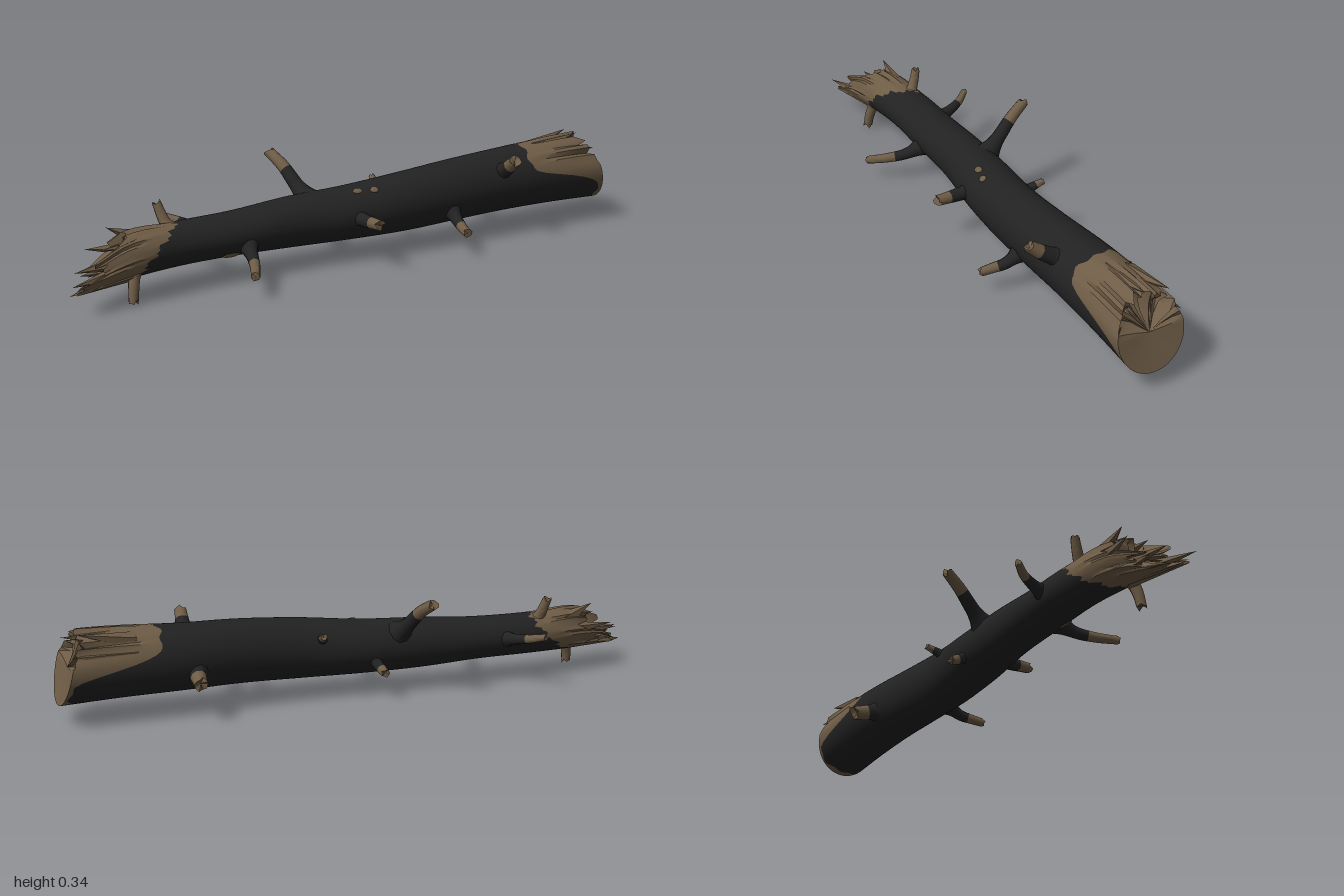
import * as THREE from 'three';
import { toCreasedNormals } from 'three/addons/utils/BufferGeometryUtils.js';

const bark = new THREE.MeshStandardMaterial({ color: 0x222222 });
bark.name = 'charred bark';
const wood = new THREE.MeshStandardMaterial({ color: 0x6e5c46 });
wood.name = 'bare wood';

const V = (p) => new THREE.Vector3(...p);
const lerp = THREE.MathUtils.lerp;
const rand = (n) => { const s = Math.sin(n * 127.1 + 3.7) * 43758.5453; return s - Math.floor(s); };
const jag = (a) => 0.5 * Math.sin(5 * a + 1) + 0.5 * Math.sin(11 * a + 2);

// Trunk sections along x: centre y, centre z, half height, half depth
const stations = [-1.05, -0.9, -0.8, -0.6, -0.4, -0.2, 0, 0.2, 0.4, 0.6, 0.8, 1.0];
const sections = [
  0.085, 0.075, 0.03, 0.035,
  0.112, 0.037, 0.052, 0.05,
  0.135, 0.01, 0.07, 0.072,
  0.138, -0.013, 0.068, 0.076,
  0.14, -0.012, 0.07, 0.08,
  0.144, -0.01, 0.082, 0.08,
  0.147, 0.006, 0.088, 0.092,
  0.157, 0.024, 0.098, 0.09,
  0.167, 0.025, 0.103, 0.094,
  0.171, 0.016, 0.106, 0.104,
  0.175, 0.018, 0.112, 0.108,
  0.172, 0.022, 0.116, 0.112,
];
const section = new THREE.CubicInterpolant(stations, sections, 4);

// Point on the trunk at station x and angle a (0 = front, PI/2 = top)
function surface(x, a, scale = 1) {
  const [cy, cz, ry, rz] = section.evaluate(x);
  return new THREE.Vector3(x, cy + ry * scale * Math.sin(a), cz + rz * scale * Math.cos(a));
}

function trunk() {
  const sides = 56, endRows = 8, barkRows = 44;
  // Each row: zone, place in the zone, radius scale
  const rows = [['capL', 0], ['capL', 0.35], ['capL', 0.7]];
  for (let i = 0; i <= endRows; i++) rows.push(['left', i / endRows]);
  for (let i = 1; i <= barkRows; i++) rows.push(['bark', i / barkRows]);
  for (let i = 1; i <= endRows; i++) rows.push(['right', i / endRows]);
  rows.push(['capR', 0.75], ['capR', 0.4], ['capR', 0]);

  const position = [];
  for (const [zone, t] of rows) {
    for (let j = 0; j < sides; j++) {
      const a = (j / sides) * Math.PI * 2, up = Math.sin(a), front = Math.cos(a);
      const upper = THREE.MathUtils.smoothstep(up, 0.1, 0.6);
      // Where the bark stops and where the broken ends finish
      const barkL = -0.68 + 0.075 * up - 0.04 * front + 0.018 * jag(a * 2);
      const barkR = lerp(0.965, 0.68, THREE.MathUtils.smoothstep(up, -0.4, 0.45)) + 0.012 * jag(a);
      const tipL = -0.88 + 0.07 * up - 0.04 * front + 0.05 * jag(a) + 0.05 * (rand(j) - 0.5);
      const tipR = 0.965 - 0.026 * up - upper * 0.02 + upper * 0.04 * (rand(j + 90) - 0.5);
      const groove = 0.09 * jag(a * 3) - 0.08 * rand(j + 300);
      let x, scale = 1;
      if (zone === 'capL') {
        x = lerp(-0.82, tipL, t) + (t ? 0.05 * (rand(j + 40) - 0.5) : 0);
        scale = t;
      } else if (zone === 'left') {
        x = lerp(tipL, barkL, t);
        scale = 1 + groove * (1 - t);
      } else if (zone === 'bark') {
        x = lerp(barkL, barkR, t);
      } else if (zone === 'right') {
        x = lerp(barkR, tipR, t);
        scale = 1 + groove * t * upper;
      } else {
        x = lerp(0.955, tipR, t) - (t ? upper * 0.06 * rand(j + 700) : 0);
        scale = t;
      }
      position.push(...surface(x, a, scale).toArray());
    }
  }
  const index = [], geometry = new THREE.BufferGeometry();
  for (let i = 0; i < rows.length - 1; i++) {
    geometry.addGroup(index.length, sides * 6, rows[i + 1][0] === 'bark' ? 0 : 1);
    for (let j = 0; j < sides; j++) {
      const k = (j + 1) % sides, p = i * sides, q = p + sides;
      index.push(p + j, q + j, q + k, p + j, q + k, p + k);
    }
  }
  geometry.setIndex(index);
  geometry.setAttribute('position', new THREE.Float32BufferAttribute(position, 3));
  const mesh = new THREE.Mesh(toCreasedNormals(geometry, 0.55), [bark, wood]);
  mesh.name = 'trunk';
  return mesh;
}

// Tapered branch with a flared base and a broken tip; bare wood starts at woodFrom
function branch(name, points, r0, r1, woodFrom) {
  const n = 12, sides = 10;
  const curve = new THREE.CatmullRomCurve3(points.map(V));
  const geometry = new THREE.TubeGeometry(curve, n, 1, sides);
  const pos = geometry.attributes.position, v = new THREE.Vector3();
  for (let i = 0; i <= n; i++) {
    const t = i / n, centre = curve.getPointAt(t), along = curve.getTangentAt(t);
    const radius = i === n ? 0.001 : lerp(r0, r1, t) + r0 * 0.8 * Math.max(0, 1 - t * 3) ** 2;
    const tip = curve.getPointAt((n - 0.6) / n);
    for (let j = 0; j <= sides; j++) {
      const k = i * (sides + 1) + j;
      v.fromBufferAttribute(pos, k).sub(centre).multiplyScalar(radius).add(i === n ? tip : centre);
      if (i === n - 1) v.addScaledVector(along, r1 * 1.1 * rand(j % sides + r0 * 1000));
      pos.setXYZ(k, v.x, v.y, v.z);
    }
  }
  const split = Math.round(woodFrom * n) * sides * 6;
  geometry.addGroup(0, split, 0);
  geometry.addGroup(split, n * sides * 6 - split, 1);
  const mesh = new THREE.Mesh(toCreasedNormals(geometry, 0.8), [bark, wood]);
  mesh.name = name;
  return mesh;
}

// Pointed sliver of wood
function splinter(from, to, r) {
  const a = V(from), b = V(to), dir = b.clone().sub(a);
  const geometry = new THREE.ConeGeometry(r, dir.length(), 5).toNonIndexed();
  geometry.computeVertexNormals();
  const mesh = new THREE.Mesh(geometry, wood);
  mesh.position.copy(a).add(b).multiplyScalar(0.5);
  mesh.quaternion.setFromUnitVectors(new THREE.Vector3(0, 1, 0), dir.normalize());
  mesh.name = 'splinter';
  return mesh;
}

// Thin bare patch lying on the bark
function patch(x, a, w, h) {
  const mesh = new THREE.Mesh(new THREE.SphereGeometry(1, 9, 6), wood);
  mesh.scale.set(w, h, 0.005);
  mesh.position.copy(surface(x, a));
  mesh.rotation.x = -a;
  mesh.name = 'barePatch';
  return mesh;
}

export function createModel() {
  const group = new THREE.Group();
  group.name = 'brokenLog';
  group.add(trunk());

  // Long branches
  group.add(
    branch('upperBackBranch', [[-0.11, 0.19, -0.05], [-0.125, 0.235, -0.105], [-0.14, 0.285, -0.16], [-0.16, 0.325, -0.225]], 0.026, 0.017, 0.55),
    branch('lowFrontBranch', [[-0.385, 0.115, 0.04], [-0.4, 0.09, 0.1], [-0.425, 0.078, 0.16], [-0.462, 0.07, 0.23]], 0.022, 0.013, 0.5),
    branch('rightFrontBranch', [[0.355, 0.12, 0.09], [0.35, 0.092, 0.14], [0.34, 0.082, 0.18], [0.332, 0.075, 0.222]], 0.022, 0.014, 0.55),
    branch('leftBackBranch', [[-0.48, 0.14, -0.06], [-0.5, 0.15, -0.12], [-0.525, 0.16, -0.17], [-0.568, 0.175, -0.22]], 0.022, 0.01, 0.6),
  );
  // Short stubs
  group.add(
    branch('middleFrontStub', [[0, 0.147, 0.06], [0.003, 0.147, 0.13], [0.008, 0.15, 0.195]], 0.025, 0.017, 0.68),
    branch('upperFrontStub', [[0.565, 0.21, 0.07], [0.557, 0.245, 0.13], [0.55, 0.28, 0.178]], 0.03, 0.019, 0.65),
    branch('undersideStub', [[-0.77, 0.1, 0.035], [-0.782, 0.05, 0.052], [-0.788, 0.004, 0.06]], 0.02, 0.015, 0.2),
    branch('topStub', [[-0.62, 0.18, -0.03], [-0.632, 0.22, -0.05], [-0.642, 0.262, -0.065]], 0.02, 0.014, 0.2),
    branch('rightBackStub', [[0.57, 0.14, -0.06], [0.576, 0.13, -0.1], [0.582, 0.122, -0.142]], 0.03, 0.022, 0.5),
    branch('lowBackStub', [[-0.02, 0.12, -0.06], [-0.028, 0.1, -0.09], [-0.034, 0.085, -0.125]], 0.02, 0.014, 0.65),
    branch('smallBackStub', [[0.15, 0.19, -0.04], [0.158, 0.205, -0.07], [0.165, 0.218, -0.1]], 0.018, 0.01, 0.7),
  );

  // Slivers of the left break
  const left = [
    [[-0.78, 0.1, 0.03], [-1, 0.1, 0.1], 0.032], [[-0.78, 0.09, 0.03], [-0.98, 0.066, 0.085], 0.03],
    [[-0.76, 0.12, 0], [-0.96, 0.115, 0.025], 0.034], [[-0.72, 0.17, -0.03], [-0.83, 0.222, -0.03], 0.03],
    [[-0.72, 0.14, -0.04], [-0.89, 0.155, -0.058], 0.03], [[-0.72, 0.16, 0.01], [-0.87, 0.175, 0.03], 0.032],
    [[-0.78, 0.1, 0.0], [-0.93, 0.09, -0.012], 0.03],
  ];
  // Slivers along the top of the right break
  const right = [
    [[0.74, 0.255, 0.02], [0.93, 0.292, 0.025], 0.03], [[0.76, 0.25, -0.03], [0.94, 0.288, -0.05], 0.028],
    [[0.76, 0.23, 0.07], [0.96, 0.25, 0.085], 0.03], [[0.76, 0.21, -0.055], [0.965, 0.225, -0.078], 0.028],
  ];
  for (const s of [...left, ...right]) group.add(splinter(...s));

  // Bare patches
  group.add(patch(0.015, 1.1, 0.018, 0.012), patch(0.07, 0.98, 0.016, 0.012), patch(-0.44, -0.9, 0.03, 0.014));
  return group;
}
